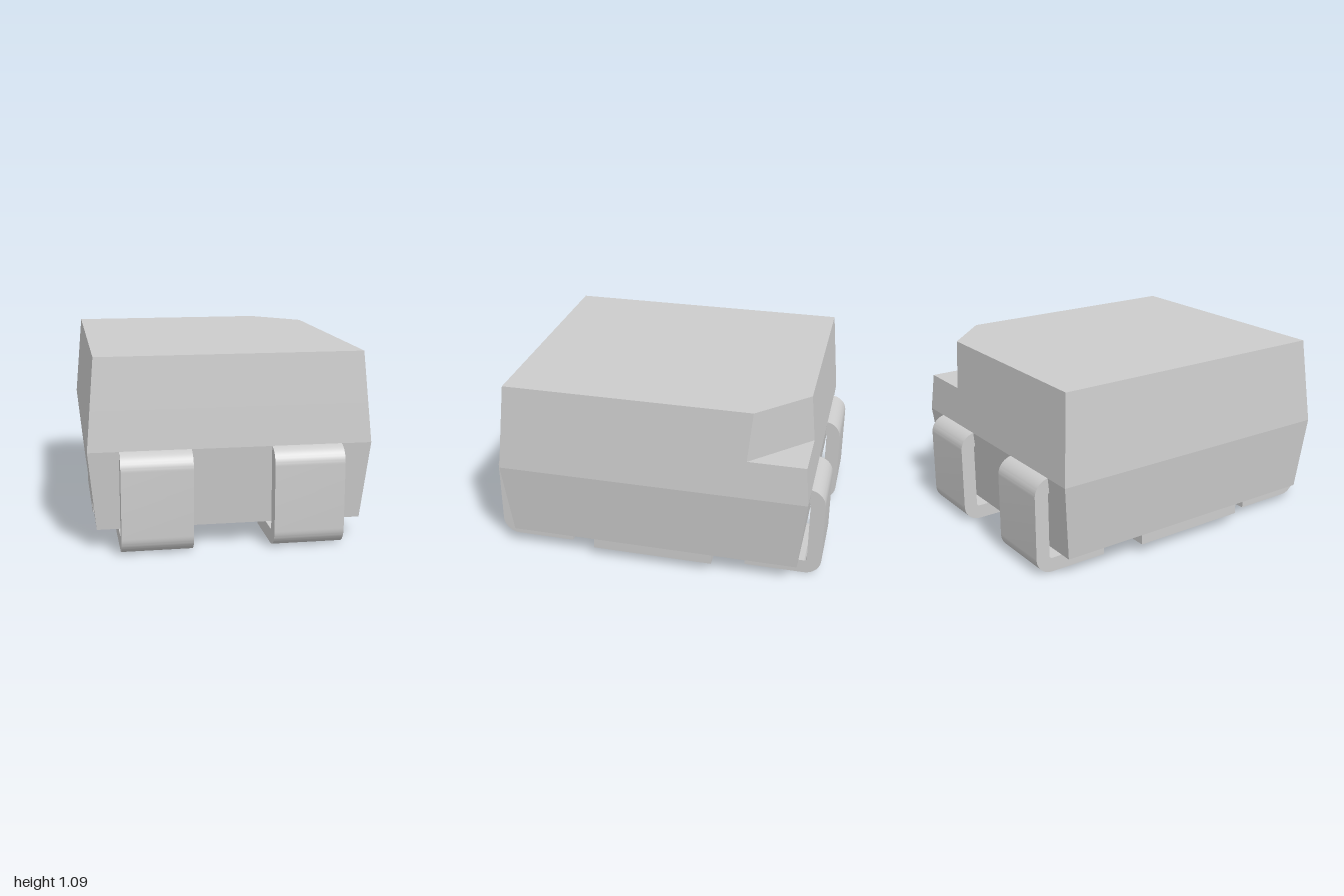
import * as THREE from 'three';
import { toCreasedNormals } from 'three/addons/utils/BufferGeometryUtils.js';

const MID = 0.573, BOTTOM = 0.12, TOP = 1.09, LEDGE = 0.8, CUT = 1.34;

// Six-point outline at height y; the corner at +x, -z is either whole or cut off
function ring(y, cut) {
  const inset = 0.045 * (y > MID ? (y - MID) / (TOP - MID) : (MID - y) / (MID - BOTTOM));
  const a = 0.8 - inset, c = 0.915 - inset;
  const cutZ = a - CUT, cutX = CUT - c;
  const corner = cut ? [(a + cutX) / 2, (cutZ - c) / 2] : [a, -c];
  return [[-a, c], [a, c], [a, cutZ], corner, [cutX, -c], [-a, -c]]
    .map(([x, z]) => new THREE.Vector3(x, y, z));
}

// Tapered package with the notch ledge made by two rings at the same height
function bodyGeometry() {
  const rings = [ring(BOTTOM), ring(MID), ring(LEDGE), ring(LEDGE, true), ring(TOP, true)];
  const points = [];
  const tri = (a, b, c) => {
    if (new THREE.Triangle(a, b, c).getArea() > 1e-6) points.push(a, b, c);
  };
  for (let r = 0; r < rings.length - 1; r++) {
    const lo = rings[r], hi = rings[r + 1];
    for (let i = 0; i < 6; i++) {
      const j = (i + 1) % 6;
      tri(lo[i], lo[j], hi[j]);
      tri(lo[i], hi[j], hi[i]);
    }
  }
  const base = rings[0], top = rings[rings.length - 1];
  for (let i = 1; i < 5; i++) {
    tri(top[0], top[i], top[i + 1]);
    tri(base[0], base[i + 1], base[i]);
  }
  const geometry = new THREE.BufferGeometry().setFromPoints(points);
  geometry.computeVertexNormals();
  return geometry;
}

// Bent strip: foot, upright and short top bend entering the package
function leadGeometry() {
  const t = 0.085, r = 0.1, h = 0.575, inner = r - t;
  const s = new THREE.Shape();
  s.moveTo(0.545, 0);
  s.lineTo(1 - r, 0);
  s.absarc(1 - r, r, r, -Math.PI / 2, 0, false);
  s.lineTo(1, h - r);
  s.absarc(1 - r, h - r, r, 0, Math.PI / 2, false);
  s.lineTo(1 - r, h - t);
  s.absarc(1 - r, h - r, inner, Math.PI / 2, 0, true);
  s.lineTo(1 - t, r);
  s.absarc(1 - r, r, inner, 0, -Math.PI / 2, true);
  s.lineTo(0.545, t);
  s.closePath();
  const geometry = new THREE.ExtrudeGeometry(s, { depth: 0.4, bevelEnabled: false, curveSegments: 10 });
  geometry.rotateY(-Math.PI / 2).translate(0.2, 0, 0);
  return toCreasedNormals(geometry, 0.6);
}

export function createModel() {
  const model = new THREE.Group();
  model.name = 'surfaceMountPackage';
  const grey = new THREE.MeshStandardMaterial({ color: 0xcccccc });
  grey.name = 'light grey';

  const add = (name, geometry) => {
    const mesh = new THREE.Mesh(geometry, grey);
    mesh.name = name;
    model.add(mesh);
    return mesh;
  };

  add('body', bodyGeometry());
  // Raised bar across the underside
  add('undersideBar', new THREE.BoxGeometry(1.51, 0.1, 0.725)).position.y = 0.11;

  // Two leads at each end
  const lead = leadGeometry();
  for (const end of ['front', 'back']) {
    for (const side of [1, -1]) {
      const mesh = add(end + (side > 0 ? 'LeftLead' : 'RightLead'), lead);
      mesh.position.x = side * 0.427;
      if (end === 'back') mesh.rotation.y = Math.PI;
    }
  }
  return model;
}
